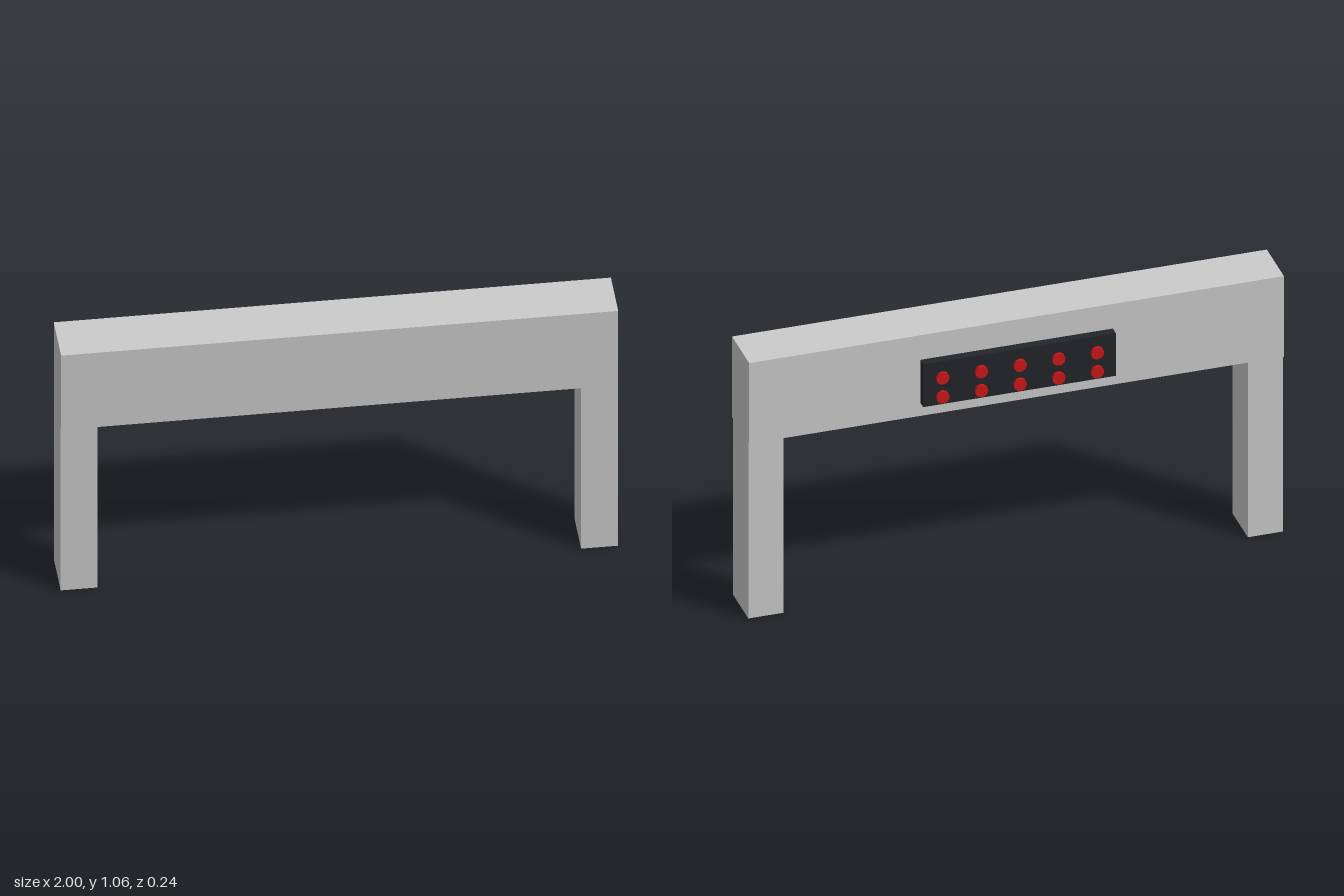
import * as THREE from 'three';

export function createModel() {
  const model = new THREE.Group();
  const grey = new THREE.MeshStandardMaterial({ color: 0xcccccc });
  const black = new THREE.MeshStandardMaterial({ color: 0x22252a });
  const red = new THREE.MeshStandardMaterial({ color: 0xcc1818, flatShading: true });

  // Box given by its low and high corners
  function addBox(name, material, [x0, y0, z0], [x1, y1, z1]) {
    const mesh = new THREE.Mesh(new THREE.BoxGeometry(x1 - x0, y1 - y0, z1 - z0), material);
    mesh.position.set((x0 + x1) / 2, (y0 + y1) / 2, (z0 + z1) / 2);
    mesh.name = name;
    model.add(mesh);
  }

  // Gantry: crossbeam on two slightly thinner posts
  addBox('crossbeam', grey, [-1, 0.725, -0.076], [1, 1.057, 0.122]);
  addBox('rightPost', grey, [-1, 0, -0.066], [-0.868, 0.725, 0.112]);
  addBox('leftPost', grey, [0.868, 0, -0.066], [1, 0.725, 0.112]);

  // Signal panel on the back of the beam
  addBox('lightPanel', black, [-0.36, 0.78, -0.11], [0.36, 0.956, -0.076]);

  // Two rows of five round lights
  const lamp = new THREE.CylinderGeometry(0.024, 0.024, 0.022, 16).rotateX(-Math.PI / 2);
  const lights = new THREE.Group();
  lights.name = 'startLights';
  for (const y of [0.813, 0.891]) {
    for (let i = -2; i <= 2; i++) {
      const light = new THREE.Mesh(lamp, red);
      light.name = 'startLight';
      light.position.set(i * 0.1445, y, -0.111);
      lights.add(light);
    }
  }
  model.add(lights);
  return model;
}
